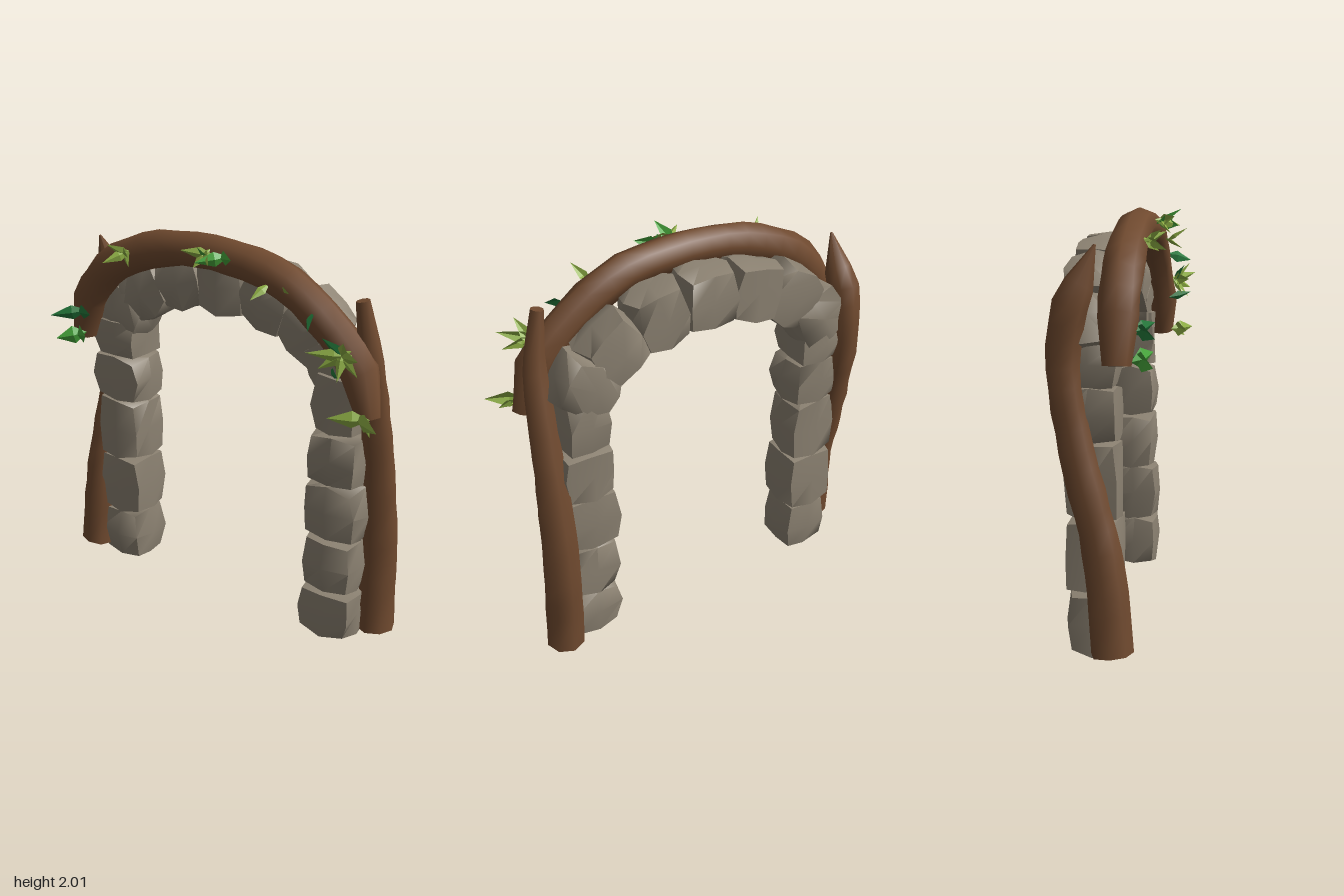
import * as THREE from 'three';
import { mergeVertices, toCreasedNormals } from 'three/addons/utils/BufferGeometryUtils.js';

const V = (x, y, z) => new THREE.Vector3(x, y, z);
const rad = THREE.MathUtils.degToRad;

function seeded(seed) {
  let s = seed;
  return () => {
    s = (s * 16807) % 2147483647;
    return s / 2147483647;
  };
}

function material(name, color, side = THREE.FrontSide) {
  const m = new THREE.MeshStandardMaterial({ color, side });
  m.name = name;
  return m;
}

// Hewn block: a divided box with pulled-in corners and slight irregularity
function stoneGeometry(w, h, d, rand) {
  let geo = new THREE.BoxGeometry(1, 1, 1, 2, 2, 2);
  geo.deleteAttribute('uv');
  geo.deleteAttribute('normal');
  geo = mergeVertices(geo);
  const p = geo.attributes.position;
  const v = V(0, 0, 0);
  const jitter = () => (rand() - 0.5) * 0.09;
  for (let i = 0; i < p.count; i++) {
    v.fromBufferAttribute(p, i);
    const outer = [v.x, v.y, v.z].filter((c) => Math.abs(c) > 0.4).length;
    v.multiplyScalar([0, 1.03, 0.94, 0.83][outer]);
    p.setXYZ(i, (v.x + jitter()) * w, (v.y + jitter()) * h, (v.z + jitter()) * d);
  }
  return toCreasedNormals(geo, 1.2);
}

// Gnarled wood: a tube with varying radius and closed ends; points are [x, y, z, radius]
function woodGeometry(points, rings, sides, rand) {
  const curve = new THREE.CatmullRomCurve3(points.map((p) => V(p[0], p[1], p[2])));
  const geo = new THREE.TubeGeometry(curve, rings, 1, sides, false);
  const pos = geo.attributes.position;
  const v = V(0, 0, 0);
  for (let i = 0; i <= rings; i++) {
    const centre = curve.getPointAt(i / rings);
    // The outermost two rings share one plane, so the ends are flat caps
    const u = i <= 1 ? 0 : i >= rings - 1 ? 1 : i / rings;
    const place = curve.getPointAt(u);
    const t = curve.getUtoTmapping(u) * (points.length - 1);
    const k = Math.min(Math.floor(t), points.length - 2);
    const radius = THREE.MathUtils.lerp(points[k][3], points[k + 1][3], t - k);
    const bumps = Array.from({ length: sides }, () => 0.94 + rand() * 0.12);
    for (let s = 0; s <= sides; s++) {
      const n = i * (sides + 1) + s;
      const r = i === 0 || i === rings ? 0 : radius * bumps[s % sides];
      v.fromBufferAttribute(pos, n).sub(centre).multiplyScalar(r).add(place);
      pos.setXYZ(n, v.x, v.y, v.z);
    }
  }
  geo.deleteAttribute('uv');
  return toCreasedNormals(geo, 1.2);
}

// Leaf: a diamond blade folded along its midrib, its flat side to the front
function leafGeometry(base, tip, width) {
  const dir = tip.clone().sub(base);
  const across = V(0, 0, 1).cross(dir).normalize();
  const fold = dir.clone().cross(across).normalize().multiplyScalar(width * 0.25);
  const mid = base.clone().addScaledVector(dir, 0.42);
  const a = mid.clone().addScaledVector(across, width / 2);
  const b = mid.clone().addScaledVector(across, -width / 2);
  const rib = mid.add(fold);
  const geo = new THREE.BufferGeometry().setFromPoints(
    [base, rib, a, rib, tip, a, base, b, rib, rib, b, tip]);
  geo.computeVertexNormals();
  return geo;
}

export function createModel() {
  const group = new THREE.Group();
  group.name = 'overgrownArch';
  const rand = seeded(4217);
  const stone = material('stone', 0x8c8272);
  const bark = material('bark', 0x704a2f);
  const light = material('lightLeaf', 0x8fb045, THREE.DoubleSide);
  const green = material('greenLeaf', 0x48a83c, THREE.DoubleSide);
  const dark = material('darkLeaf', 0x23783a, THREE.DoubleSide);
  const add = (geo, mat, name) => {
    const mesh = new THREE.Mesh(geo, mat);
    mesh.name = name;
    group.add(mesh);
    return mesh;
  };

  // Pillars: stones stacked between successive levels
  const pillars = [
    { name: 'rightPillarStone', x: -0.695, levels: [0, 0.295, 0.625, 0.98, 1.22, 1.43], widths: [0.27, 0.29, 0.27, 0.3, 0.26] },
    { name: 'leftPillarStone', x: 0.64, levels: [0.01, 0.275, 0.57, 0.87, 1.14, 1.45], widths: [0.3, 0.28, 0.3, 0.27, 0.23] },
  ];
  for (const { name, x, levels, widths } of pillars) {
    widths.forEach((w, i) => {
      const y = (levels[i] + levels[i + 1]) / 2;
      const m = add(stoneGeometry(w, levels[i + 1] - levels[i] + 0.01, 0.26, rand), stone, name);
      m.position.set(x, y, -0.055 - 0.02 * y);
    });
  }

  // Arch stones, mirrored in pairs about the keystone: x offset, y, turn in degrees
  const placeArchStone = (x, y, turn) => {
    const m = add(stoneGeometry(0.275, 0.29, 0.25, rand), stone, 'archStone');
    m.position.set(x - 0.03, y, -0.09);
    m.rotation.z = rad(turn);
  };
  placeArchStone(0, 1.735, 0);
  for (const side of [-1, 1]) {
    for (const [x, y, turn] of [[0.255, 1.71, 14], [0.485, 1.615, 38], [0.645, 1.47, 61]]) {
      placeArchStone(side * x, y, -side * turn);
    }
  }

  // Two leaning trunks and the bent trunk over the arch
  add(woodGeometry([
    [-0.88, 0.05, 0.04, 0.1], [-0.865, 0.5, -0.01, 0.09], [-0.85, 1, -0.13, 0.077],
    [-0.845, 1.35, -0.18, 0.075], [-0.84, 1.6, -0.14, 0.08], [-0.825, 1.73, -0.08, 0.055],
    [-0.83, 1.84, -0.04, 0.006],
  ], 20, 8, rand), bark, 'rightTrunk');
  add(woodGeometry([
    [0.83, 0.04, -0.16, 0.1], [0.82, 0.5, -0.17, 0.095], [0.815, 0.95, -0.12, 0.082],
    [0.81, 1.3, -0.05, 0.07], [0.795, 1.6, 0.005, 0.055], [0.755, 1.83, 0.02, 0.033],
  ], 18, 8, rand), bark, 'leftTrunk');
  add(woodGeometry([
    [-0.87, 1.33, 0.06, 0.065], [-0.84, 1.5, 0.06, 0.09], [-0.67, 1.73, 0.055, 0.095],
    [-0.33, 1.88, 0.055, 0.09], [0, 1.91, 0.05, 0.087], [0.33, 1.865, 0.055, 0.09],
    [0.62, 1.69, 0.055, 0.088], [0.8, 1.48, 0.06, 0.092], [0.84, 1.31, 0.065, 0.06],
  ], 22, 8, rand), bark, 'archTrunk');

  // Leaf tufts fanning forward: x, y, reach, first angle, blade width, one colour per blade
  const tufts = [
    [-0.83, 1.48, 0.13, 15, 0.075, [dark, dark]],
    [-0.84, 1.355, 0.1, 20, 0.095, [green, green]],
    [-0.5, 1.85, 0.09, 40, 0.055, [light, light, light, light]],
    [-0.01, 1.935, 0.09, 70, 0.06, [green, light, light, light]],
    [0.08, 1.93, 0.09, 15, 0.07, [green, green]],
    [0.325, 1.84, 0.07, -112, 0.045, [light]],
    [0.44, 1.84, 0.09, 65, 0.045, [light]],
    [0.57, 1.75, 0.06, -40, 0.07, [dark]],
    [0.74, 1.61, 0.14, 20, 0.065, [light, light, dark, light, light, light, light]],
    [0.69, 1.52, 0.08, 20, 0.05, [dark]],
    [0.84, 1.325, 0.13, 0, 0.085, [light, light]],
    [0.86, 1.325, 0.09, -50, 0.05, [light]],
  ];
  for (const [x, y, reach, start, width, colours] of tufts) {
    colours.forEach((colour, i) => {
      const angle = rad(start + (i * 360) / colours.length);
      const dx = Math.cos(angle) * reach;
      const dy = Math.sin(angle) * reach * 0.7;
      const base = V(x - dx * 0.3, y - dy * 0.3, 0.12);
      const tip = V(x + dx, y + dy, 0.19 + rand() * 0.06);
      add(leafGeometry(base, tip, width), colour, 'leaf');
    });
  }
  return group;
}
